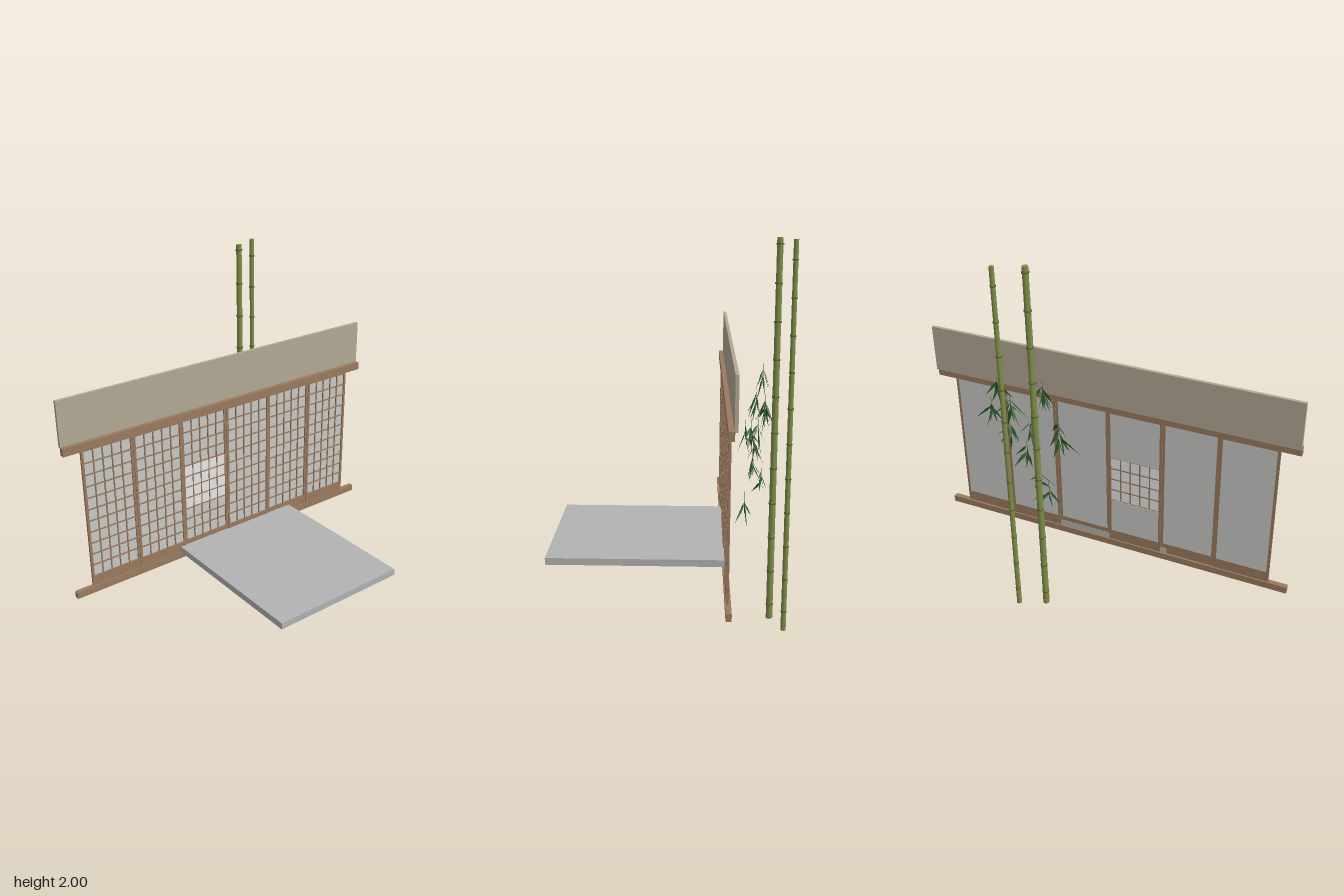
import * as THREE from 'three';
import { mergeGeometries } from 'three/addons/utils/BufferGeometryUtils.js';

const mat = (name, color, side = THREE.FrontSide) => {
  const m = new THREE.MeshStandardMaterial({ color, side });
  m.name = name;
  return m;
};

// Box geometry given by its bounds
function slab(x0, x1, y0, y1, z0, z1) {
  return new THREE.BoxGeometry(x1 - x0, y1 - y0, z1 - z0)
    .translate((x0 + x1) / 2, (y0 + y1) / 2, (z0 + z1) / 2);
}

// Slender leaf growing along -y, folded at the midrib
function leafGeometry(length, width) {
  const w = width / 2, f = width * 0.2, l = length;
  const g = new THREE.BufferGeometry();
  g.setAttribute('position', new THREE.Float32BufferAttribute([
    0, 0, 0, -w, -l * 0.35, f, 0, -l * 0.4, 0,
    0, 0, 0, 0, -l * 0.4, 0, w, -l * 0.35, f,
    -w, -l * 0.35, f, 0, -l, f, 0, -l * 0.4, 0,
    0, -l * 0.4, 0, 0, -l, f, w, -l * 0.35, f,
  ], 3));
  g.computeVertexNormals();
  return g;
}

export function createModel() {
  const model = new THREE.Group();
  const wood = mat('wood', 0x9a7a60);
  const plaster = mat('plaster', 0xb3a994);
  const paper = mat('paper', 0xc8c8c5);
  const pane = mat('white pane', 0xffffff);
  const stone = mat('grey platform', 0xb2b2b2);
  const stalk = mat('bamboo green', 0x7f8d48);
  const nodeMat = mat('bamboo node', 0x59652f);
  const leafMat = mat('leaf green', 0x2f5a2b, THREE.DoubleSide);

  let seed = 7;
  const rnd = () => (seed = (seed * 16807) % 2147483647) / 2147483647;

  const add = (name, geometry, material, parent = model) => {
    const m = new THREE.Mesh(geometry, material);
    m.name = name;
    parent.add(m);
    return m;
  };

  // Rails, wall above and platform
  add('bottomRail', slab(-1, 1, 0.333, 0.37, -0.315, -0.287), wood);
  add('topRail', slab(-1, 1, 1.178, 1.222, -0.315, -0.287), wood);
  add('upperWall', slab(-1, 1, 1.218, 1.47, -0.329, -0.312), plaster);
  add('platform', slab(-0.335, 0.465, 0.366, 0.403, -0.305, 0.62), stone);

  // Six sliding screens on alternating tracks
  const W = 0.3, stile = 0.014, y0 = 0.43, y1 = 1.17, rows = 11, cols = 5;
  const bar = 0.003;
  const rowY = (r) => y0 + (y1 - y0) * r / rows;
  for (let i = 0; i < 6; i++) {
    const screen = new THREE.Group();
    screen.name = 'slidingScreen' + (i + 1);
    screen.position.set(-0.9 + W * i, 0, i % 2 ? -0.298 : -0.302);
    model.add(screen);
    const a = stile, b = W - stile;
    add('frame', mergeGeometries([
      slab(0, a, 0.37, 1.18, -0.006, 0.006),
      slab(b, W, 0.37, 1.18, -0.006, 0.006),
      slab(a, b, 0.37, y0, -0.0055, 0.0055),
      slab(a, b, y1, 1.18, -0.0055, 0.0055),
    ]), wood, screen);

    const bars = [];
    for (let c = 1; c < cols; c++) {
      const x = a + (b - a) * c / cols;
      bars.push(slab(x - bar, x + bar, y0, y1, -0.0025, 0.004));
    }
    for (let r = 1; r < rows; r++) {
      bars.push(slab(a, b, rowY(r) - bar, rowY(r) + bar, -0.003, 0.0045));
    }
    add('lattice', mergeGeometries(bars), wood, screen);

    // The third screen has a white window across four rows
    if (i === 2) {
      add('paperBelow', slab(a, b, y0, rowY(3), -0.0045, -0.002), paper, screen);
      add('paperAbove', slab(a, b, rowY(7), y1, -0.0045, -0.002), paper, screen);
      add('windowPane', slab(a, b, rowY(3), rowY(7), 0.0003, 0.0013), pane, screen);
    } else {
      add('paper', slab(a, b, y0, y1, -0.0045, -0.002), paper, screen);
    }
  }

  // Two bamboo stalks with raised nodes
  const stalks = [
    { x: 0.285, z: -0.545, r: 0.0165, first: 0.08, step: 0.189 },
    { x: 0.422, z: -0.608, r: 0.013, first: 0.105, step: 0.18 },
  ];
  for (const s of stalks) {
    const bamboo = new THREE.Group();
    bamboo.name = 'bamboo';
    bamboo.position.set(s.x, 0, s.z);
    model.add(bamboo);
    add('stalk', new THREE.CylinderGeometry(s.r * 0.93, s.r * 1.07, 2, 16).translate(0, 1, 0), stalk, bamboo);
    for (let y = s.first; y < 1.99; y += s.step) {
      add('node', new THREE.CylinderGeometry(s.r * 1.17, s.r * 1.17, 0.007, 16).translate(0, y, 0), nodeMat, bamboo);
    }
  }

  // Drooping leaf sprays: twig end position and leaf count
  const sprays = [
    [0.56, 1.27, -0.43, 8], [0.27, 1.33, -0.48, 8], [0.18, 1.14, -0.5, 7],
    [0.23, 1.03, -0.40, 6], [0.38, 1.07, -0.42, 8], [0.5, 1.02, -0.43, 7],
    [0.32, 0.8, -0.48, 5], [0.46, 1.22, -0.48, 9], [0.31, 0.67, -0.4, 6],
    [0.6, 1.15, -0.44, 6], [0.41, 0.92, -0.43, 7],
  ];
  const leaves = [], twigs = [];
  for (const [x, y, z, n] of sprays) {
    twigs.push(new THREE.CylinderGeometry(0.001, 0.0015, 0.07, 5).translate(x, y + 0.015, z));
    for (let k = 0; k < n; k++) {
      const g = leafGeometry(0.085 + rnd() * 0.055, 0.014 + rnd() * 0.006);
      g.rotateY((rnd() - 0.5) * 2);
      g.rotateX(0.25 + rnd() * 0.7);
      g.rotateY((k / n + rnd() * 0.1) * Math.PI * 2);
      // Squash towards the screen plane so the sprays stay flat
      g.scale(1.15, 1, 0.6);
      g.translate(x, y + (rnd() - 0.5) * 0.06, z);
      leaves.push(g);
    }
  }
  add('leaves', mergeGeometries(leaves), leafMat);
  add('twigs', mergeGeometries(twigs), nodeMat);

  return model;
}
